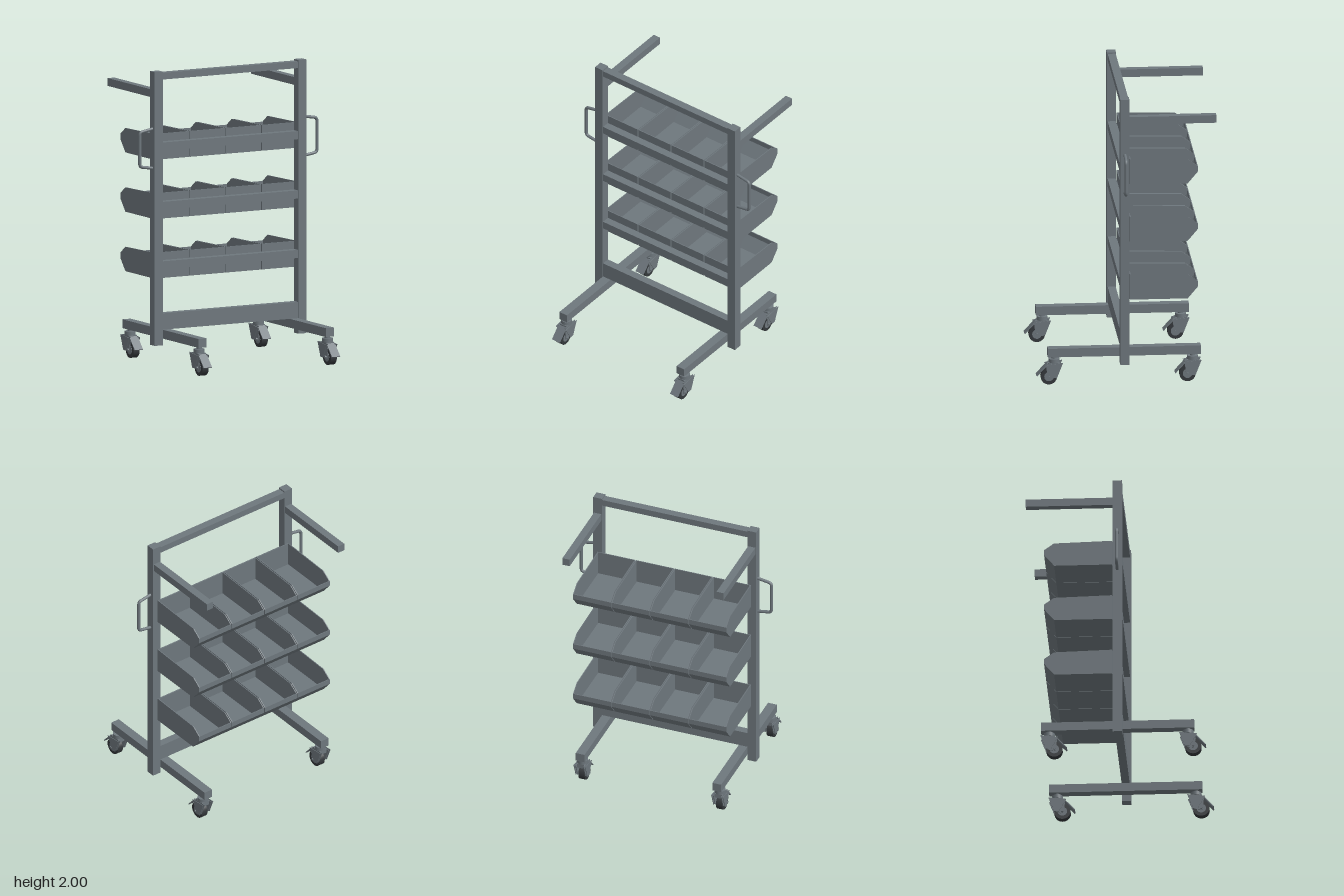
import * as THREE from 'three';

const material = (name, color) => {
  const m = new THREE.MeshStandardMaterial({ color });
  m.name = name;
  return m;
};

export function createModel() {
  const steel = material('greySteel', 0x6e777d);
  const rubber = material('darkRubber', 0x34383b);
  const model = new THREE.Group();
  model.name = 'binTrolley';

  const add = (parent, name, geometry, mat = steel) => {
    const mesh = new THREE.Mesh(geometry, mat);
    mesh.name = name;
    parent.add(mesh);
    return mesh;
  };

  // Box given by its limits on each axis
  const box = (parent, name, [x0, x1], [y0, y1], [z0, z1]) =>
    add(parent, name, new THREE.BoxGeometry(x1 - x0, y1 - y0, z1 - z0))
      .position.set((x0 + x1) / 2, (y0 + y1) / 2, (z0 + z1) / 2);

  // Outline in (z, y), extruded along x and centred on the given x
  const sidePlate = (parent, name, points, width, x = 0) => {
    const shape = new THREE.Shape(points.map(([z, y]) => new THREE.Vector2(z, y)));
    const g = new THREE.ExtrudeGeometry(shape, { depth: width, bevelEnabled: false });
    g.translate(0, 0, -width / 2).rotateY(-Math.PI / 2);
    add(parent, name, g).position.x = x;
  };

  // Cylinder lying along x
  const axleCylinder = (parent, name, radius, width, y, z, mat) =>
    add(parent, name, new THREE.CylinderGeometry(radius, radius, width, 28).rotateZ(Math.PI / 2), mat)
      .position.set(0, y, z);

  // Swivel caster, origin at floor level below the swivel
  const caster = (x, z) => {
    const g = new THREE.Group();
    g.name = 'caster';
    g.position.set(x, 0, z);
    add(g, 'swivelStem', new THREE.CylinderGeometry(0.018, 0.018, 0.03, 16)).position.y = 0.182;
    add(g, 'swivelDisc', new THREE.CylinderGeometry(0.037, 0.037, 0.026, 24)).position.y = 0.164;
    box(g, 'forkCrown', [-0.03, 0.03], [0.122, 0.152], [-0.035, 0.04]);
    for (const s of [-1, 1]) {
      sidePlate(g, 'forkArm', [[-0.056, 0.15], [-0.02, 0.055], [0.02, 0.04], [0.045, 0.045], [0.055, 0.145]], 0.005, s * 0.0285);
    }
    // Thin guards beside the fork
    for (const s of [-1, 1]) {
      sidePlate(g, 'sideGuard', [[-0.058, 0.152], [-0.018, 0.05], [0.012, 0.048], [0.062, 0.138]], 0.004, s * 0.041);
    }
    axleCylinder(g, 'axle', 0.008, 0.084, 0.055, 0.035, steel);
    axleCylinder(g, 'tyre', 0.055, 0.046, 0.055, 0.035, rubber);
    axleCylinder(g, 'wheelHub', 0.032, 0.05, 0.055, 0.035, steel);
    sidePlate(g, 'brakePedal', [[0.115, 0.06], [0.12, 0.064], [0.046, 0.146], [0.04, 0.142]], 0.064);
    model.add(g);
  };

  // Uprights, feet, arms, handles and casters on both sides
  for (const s of [-1, 1]) {
    const span = (a, b) => (s > 0 ? [a, b] : [-b, -a]);
    box(model, 'upright', span(0.523, 0.586), [0.145, 2], [-0.018, 0.043]);
    box(model, 'foot', span(0.46, 0.523), [0.19, 0.25], [-0.504, 0.525]);
    box(model, 'upperArm', span(0.528, 0.58), [1.823, 1.876], [-0.603, -0.018]);

    const p = (x, y) => new THREE.Vector3(s * x, y, 0.012);
    const path = new THREE.CurvePath();
    path.add(new THREE.LineCurve3(p(0.58, 1.613), p(0.664, 1.598)));
    path.add(new THREE.QuadraticBezierCurve3(p(0.664, 1.598), p(0.684, 1.595), p(0.684, 1.573)));
    path.add(new THREE.LineCurve3(p(0.684, 1.573), p(0.684, 1.383)));
    path.add(new THREE.QuadraticBezierCurve3(p(0.684, 1.383), p(0.684, 1.361), p(0.664, 1.358)));
    path.add(new THREE.LineCurve3(p(0.664, 1.358), p(0.58, 1.345)));
    add(model, 'handle', new THREE.TubeGeometry(path, 64, 0.0105, 12));

    caster(s * 0.495, 0.483);
    caster(s * 0.495, -0.449);
  }

  // Cross rails
  box(model, 'topRail', [-0.523, 0.523], [1.945, 1.99], [-0.016, 0.038]);
  box(model, 'bottomRail', [-0.523, 0.523], [0.25, 0.36], [-0.016, 0.038]);

  // Open bin: cranked sheet for wall, floor and lip, closed by two side panels
  const t = 0.006, front = -0.024, binWidth = 0.272;
  const sheet = [
    [front, 0.175], [front, 0], [-0.413, 0], [-0.481, 0.081], [-0.481, 0.118],
    [-0.481 + t, 0.118], [-0.481 + t, 0.083], [-0.41, t], [front - t, t], [front - t, 0.175],
  ];
  const panel = [[front, 0], [front, 0.175], [-0.415, 0.165], [-0.481, 0.118], [-0.481, 0.081], [-0.413, 0]];
  const bin = (x, y) => {
    const g = new THREE.Group();
    g.name = 'bin';
    g.position.set(x, y, 0);
    sidePlate(g, 'binSheet', sheet, binWidth - 2 * t);
    for (const s of [-1, 1]) sidePlate(g, 'binSidePanel', panel, t, s * (binWidth - t) / 2);
    model.add(g);
  };

  // Three shelves: a rail carrying four bins
  for (const y of [0.59, 0.993, 1.395]) {
    box(model, 'shelfRail', [-0.523, 0.523], [y + 0.068, y + 0.123], [-0.016, 0.038]);
    box(model, 'binBracket', [-0.5, 0.5], [y + 0.08, y + 0.11], [-0.024, -0.016]);
    for (let i = 0; i < 4; i++) bin((i - 1.5) * 0.277, y);
  }

  return model;
}
